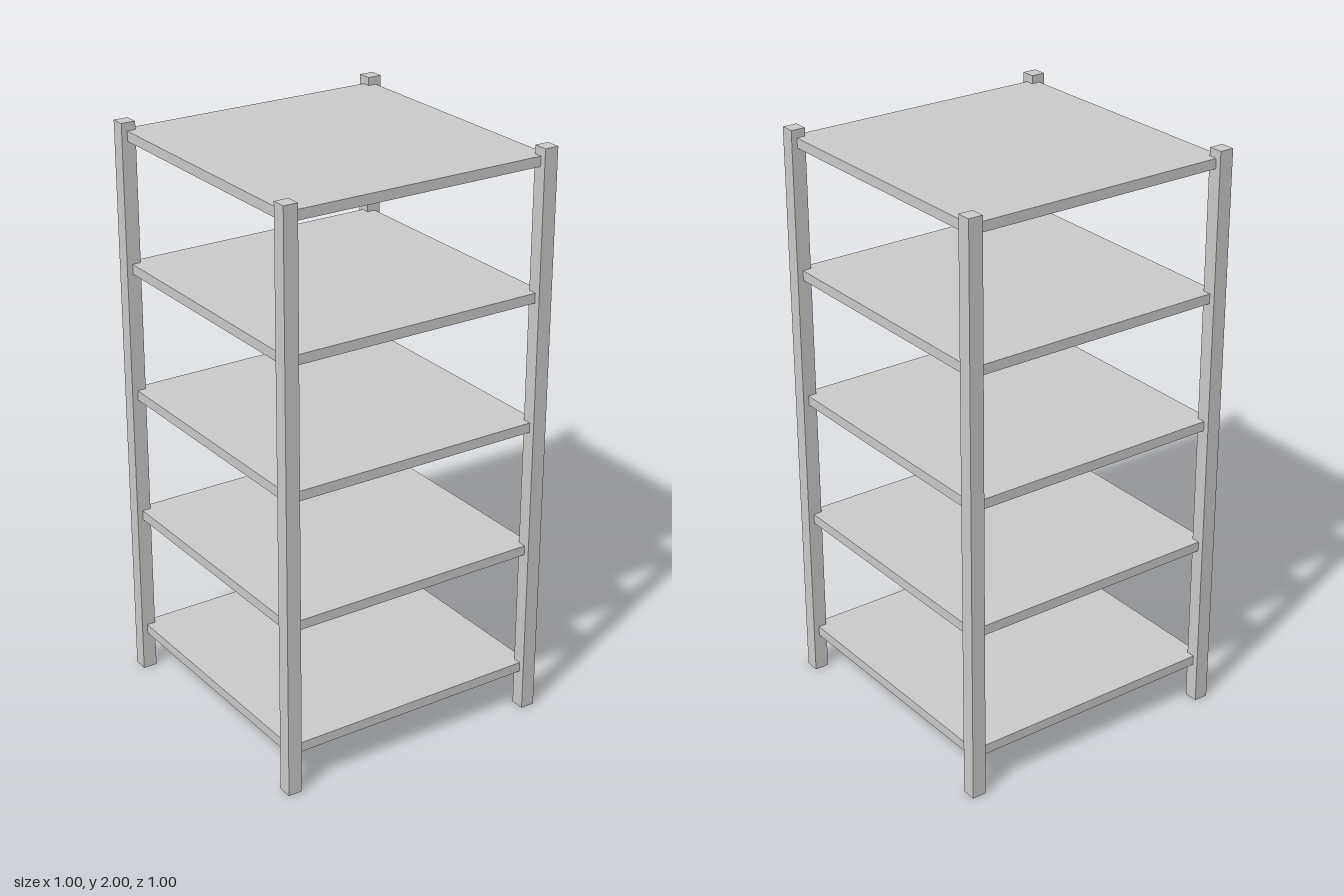
import * as THREE from 'three';

export function createModel() {
  const group = new THREE.Group();
  const material = new THREE.MeshStandardMaterial({ color: 0xcccccc });

  const addBox = (name, size, position) => {
    const mesh = new THREE.Mesh(new THREE.BoxGeometry(...size), material);
    mesh.name = name;
    mesh.position.set(...position);
    group.add(mesh);
  };

  // Square corner posts
  for (const [side, x] of [['Left', 0.475], ['Right', -0.475]]) {
    for (const [end, z] of [['front', 0.475], ['back', -0.475]]) {
      addBox(`${end}${side}Post`, [0.05, 2, 0.05], [x, 1, z]);
    }
  }

  // Evenly spaced shelves, set slightly in from the posts' outer faces
  for (let i = 0; i < 5; i++) {
    addBox(`shelf${i + 1}`, [0.96, 0.034, 0.96], [0, 0.153 + i * 0.4505, 0]);
  }

  return group;
}
